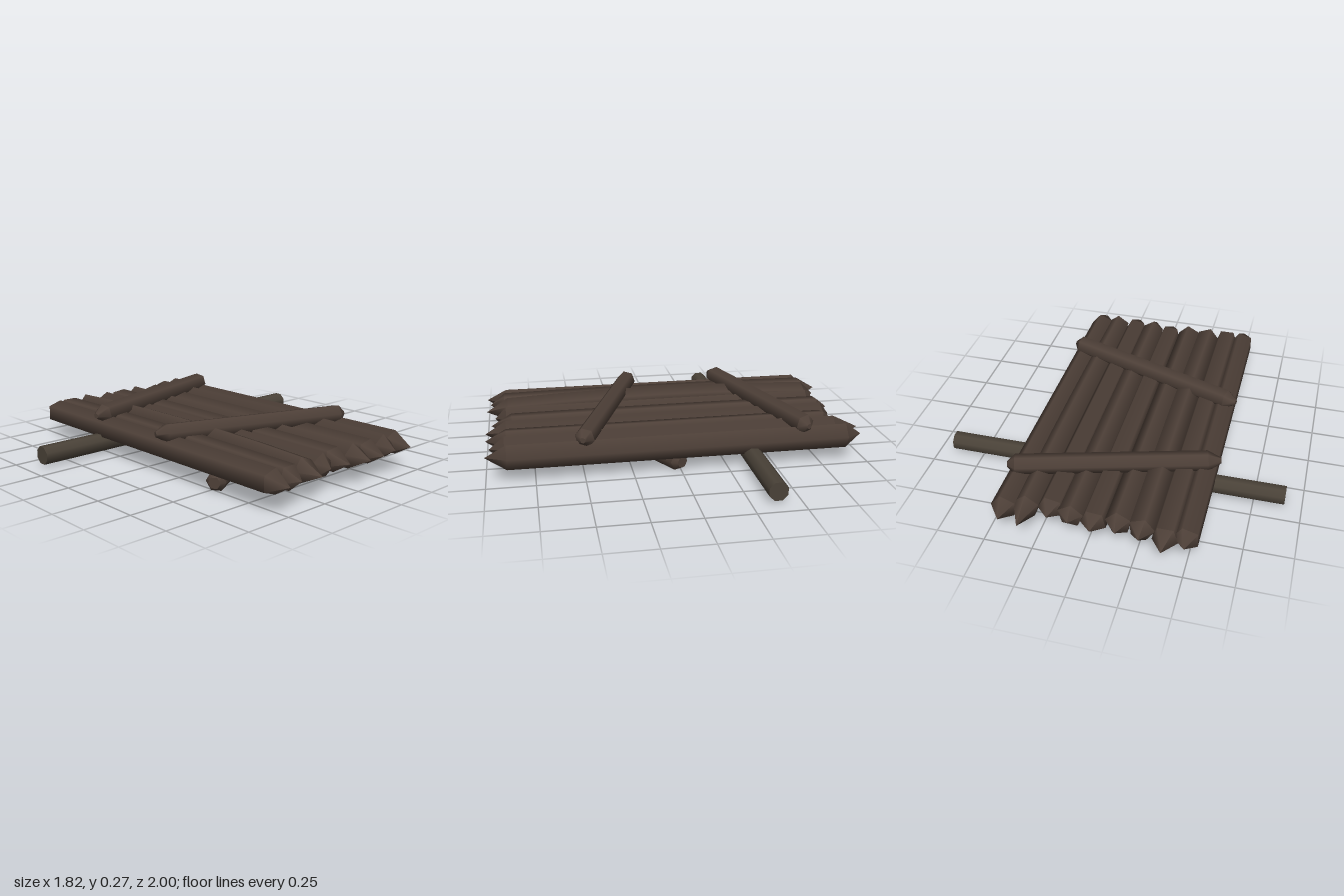
import * as THREE from 'three';

const bark = new THREE.MeshStandardMaterial({ color: 0x4e4038 });
bark.name = 'brown bark';
const poleWood = new THREE.MeshStandardMaterial({ color: 0x4a4238 });
poleWood.name = 'olive wood';

// Low-sided log between two points with tapered ends; crisp shoulders, smooth sides.
function makeLog(name, material, from, to, o) {
  const { r, sides = 6, taper0 = 0.08, taper1 = 0.08, tip = 0, spin = 0, bow = 0 } = o;
  const a = new THREE.Vector3(...from);
  const b = new THREE.Vector3(...to);
  const dir = b.clone().sub(a);
  const len = dir.length();
  const pts = [];
  const add = (x, y, twice) => {
    pts.push(new THREE.Vector2(x, y));
    if (twice) pts.push(new THREE.Vector2(x, y));
  };
  if (tip > 0 || taper0 === 0) add(0, 0);
  add(taper0 ? tip : r, 0, tip > 0 || taper0 === 0);
  if (taper0) add(r, taper0, true);
  for (let i = 1; i < 6; i++) add(r, taper0 + (len - taper0 - taper1) * i / 6);
  if (taper1) add(r, len - taper1, true);
  add(taper1 ? tip : r, len, tip > 0 || taper1 === 0);
  if (tip > 0 || taper1 === 0) add(0, len);

  const geo = new THREE.LatheGeometry(pts, sides);
  geo.rotateY(spin);
  geo.applyQuaternion(new THREE.Quaternion().setFromUnitVectors(
    new THREE.Vector3(0, 1, 0), dir.normalize()));
  geo.translate(a.x, a.y, a.z);
  if (bow) {
    const p = geo.attributes.position;
    for (let i = 0; i < p.count; i++) {
      const z = p.getZ(i);
      p.setY(i, p.getY(i) + bow * Math.max(0, 1 - z * z));
    }
  }
  const mesh = new THREE.Mesh(geo, material);
  mesh.name = name;
  return mesh;
}

export function createModel() {
  const group = new THREE.Group();
  group.name = 'logRaft';

  // Deck logs: x, back tip z, front tip z, back taper, front taper, spin, bow
  const deck = [
    [-0.49, -0.95, 1.00, 0.07, 0.11, 0.3, 0],
    [-0.39, -1.00, 0.98, 0.10, 0.08, 0.0, 0.01],
    [-0.27, -0.95, 1.00, 0.07, 0.12, 0.9, 0.03],
    [-0.15, -0.93, 0.95, 0.07, 0.06, 0.5, 0],
    [-0.03, -0.95, 0.97, 0.07, 0.11, 0.1, 0.005],
    [0.09, -0.92, 1.00, 0.05, 0.11, 0.7, 0],
    [0.20, -0.91, 1.00, 0.07, 0.11, 0.2, 0],
    [0.32, -1.00, 0.98, 0.14, 0.08, 0.6, 0.01],
    [0.425, -0.98, 1.00, 0.09, 0.11, 0.4, 0],
  ];
  for (const [x, back, front, t0, t1, spin, bow] of deck) {
    group.add(makeLog('deckLog', bark, [x, 0.15, back], [x, 0.15, front],
      { r: 0.068, sides: 5, taper0: t0, taper1: t1, spin, bow }));
  }

  // Slanted braces lying over the deck
  group.add(makeLog('topBraceBack', bark, [-0.565, 0.23, -0.37], [0.485, 0.23, -0.67],
    { r: 0.053, taper0: 0.07, taper1: 0.04, tip: 0.015, spin: 0.5 }));
  group.add(makeLog('topBraceFront', bark, [-0.56, 0.23, 0.14], [0.48, 0.23, 0.51],
    { r: 0.053, taper0: 0.06, taper1: 0.04, tip: 0.015, spin: 0.5 }));

  // Diagonal brace under the deck
  group.add(makeLog('underBrace', bark, [-0.52, 0.06, 0.535], [0.44, 0.06, -0.005],
    { r: 0.053, taper0: 0.03, taper1: 0.03, tip: 0.032, spin: 0.5 }));

  // Long straight pole across the underside
  group.add(makeLog('crossPole', poleWood, [-0.91, 0.075, -0.38], [0.91, 0.075, -0.38],
    { r: 0.051, sides: 8, taper0: 0, taper1: 0, spin: Math.PI / 8 }));

  // Rest the lowest point on the ground
  const box = new THREE.Box3().setFromObject(group, true);
  group.position.y = -box.min.y;
  return group;
}
